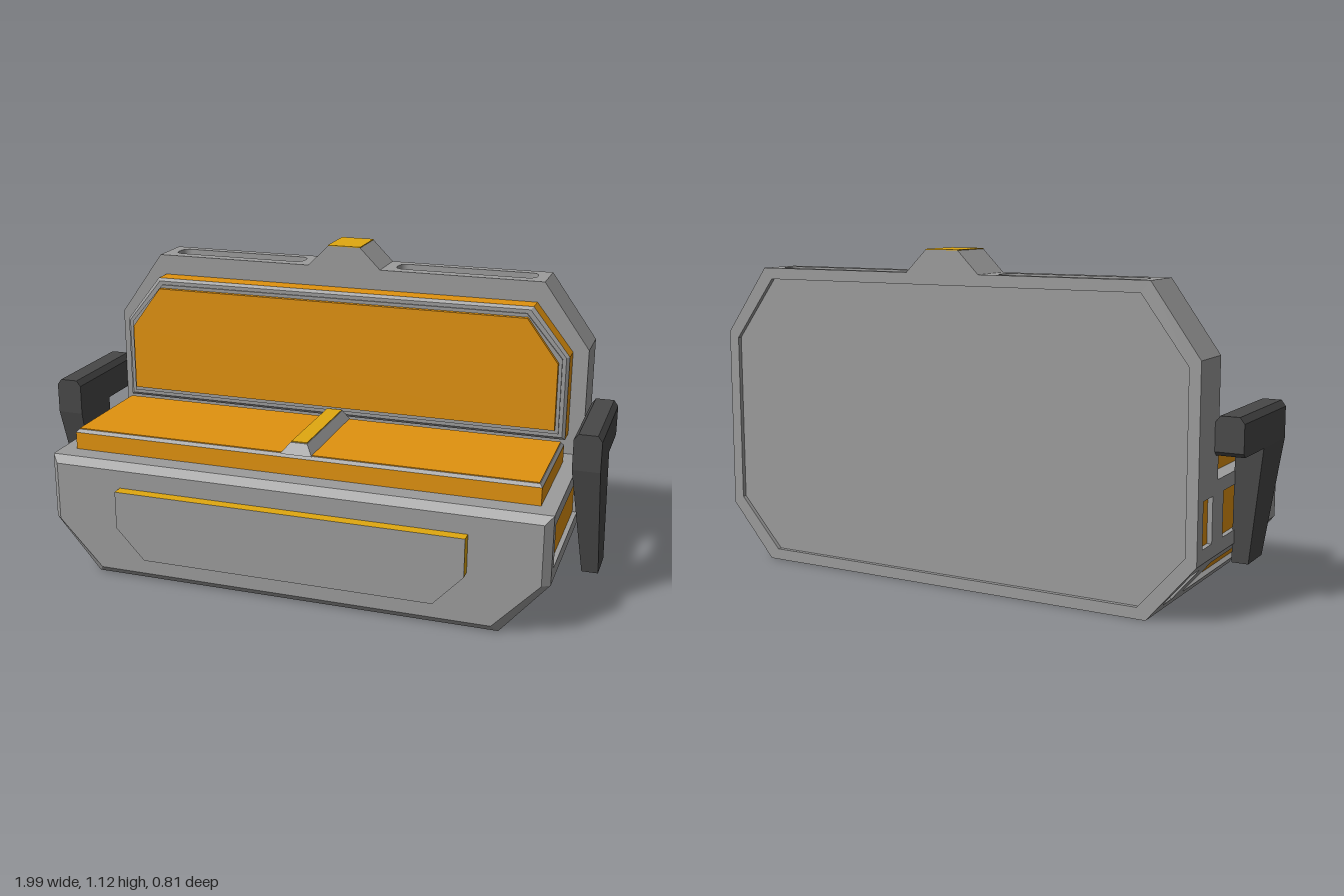
import * as THREE from 'three';

const mat = (name, color) => {
  const m = new THREE.MeshStandardMaterial({ color });
  m.name = name;
  return m;
};

export function createModel() {
  const grey = mat('frame grey', 0x9c9c9c);
  const dark = mat('dark grey', 0x484848);
  const orange = mat('cushion orange', 0xe0920f);
  const gold = mat('trim gold', 0xe0a810);

  const model = new THREE.Group();
  model.name = 'sofa';
  const body = new THREE.Group();
  body.name = 'body';
  body.position.x = -0.0125;
  model.add(body);

  const add = (name, geo, material, parent = body) => {
    const mesh = new THREE.Mesh(geo, material);
    mesh.name = name;
    parent.add(mesh);
    return mesh;
  };
  const box = (name, x0, x1, y0, y1, z0, z1, material) =>
    add(name, new THREE.BoxGeometry(x1 - x0, y1 - y0, z1 - z0)
      .translate((x0 + x1) / 2, (y0 + y1) / 2, (z0 + z1) / 2), material);

  const toShape = (pts) => new THREE.Shape(pts.map(([x, y]) => new THREE.Vector2(x, y)));
  const slab = (pts, z0, z1, holes = []) => {
    const s = toShape(pts);
    s.holes.push(...holes.map(toShape));
    return new THREE.ExtrudeGeometry(s, { depth: z1 - z0, bevelEnabled: false }).translate(0, 0, z0);
  };
  // full outline from its right half, listed from bottom to top
  const mirror = (half) => [...half, ...half.map(([x, y]) => [-x, y]).reverse()];

  // solid through convex rings, counter-clockwise seen from the last ring
  const loft = (rings) => {
    const pos = [];
    const tri = (...v) => v.forEach((p) => pos.push(...p));
    const n = rings[0].length;
    for (let r = 0; r + 1 < rings.length; r++) {
      const a = rings[r], b = rings[r + 1];
      for (let i = 0; i < n; i++) {
        const j = (i + 1) % n;
        tri(a[i], a[j], b[j]);
        tri(a[i], b[j], b[i]);
      }
    }
    const first = rings[0], last = rings[rings.length - 1];
    for (let i = 1; i + 1 < n; i++) {
      tri(last[0], last[i], last[i + 1]);
      tri(first[0], first[i + 1], first[i]);
    }
    const g = new THREE.BufferGeometry();
    g.setAttribute('position', new THREE.Float32BufferAttribute(pos, 3));
    g.computeVertexNormals();
    return g;
  };
  // outline pulled in by about d on every side
  const inset = (pts, d) => {
    const xs = pts.map((p) => p[0]), ys = pts.map((p) => p[1]);
    const y0 = Math.min(...ys), y1 = Math.max(...ys), w = Math.max(...xs);
    const cy = (y0 + y1) / 2, sy = 1 - (2 * d) / (y1 - y0), sx = 1 - d / w;
    return pts.map(([x, y]) => [x * sx, cy + (y - cy) * sy]);
  };
  const ringZ = (pts, z) => pts.map(([x, y]) => [x, y, z]);
  const ringY = (x0, x1, z0, z1, y) => [[x0, y, z1], [x1, y, z1], [x1, y, z0], [x0, y, z0]];

  // base outlines, plain and with window recesses in the sides
  const W = 0.8925, D = 0.02;
  const low = (y, d = 0) => [0.73 + 0.1625 * y / 0.19 - 0.76 * d, y + 0.65 * d];
  const plain = mirror([[0.73, 0], [W, 0.19], [W, 0.43]]);
  const notched = mirror([
    [0.73, 0], low(0.04), low(0.04, D), low(0.15, D), low(0.15), [W, 0.19],
    [W, 0.235], [W - D, 0.235], [W - D, 0.385], [W, 0.385], [W, 0.43],
  ]);
  add('baseRear', slab(plain, -0.39, -0.36), grey);
  add('baseMiddle', slab(plain, -0.28, -0.185), grey);
  add('baseFront', loft([
    ringZ(plain, 0.305), ringZ(plain, 0.345), ringZ(inset(plain, 0.026), 0.37),
  ]), grey);
  for (const [z0, z1] of [[-0.36, -0.28], [-0.185, 0.305]]) {
    add('baseWindowSection', slab(notched, z0, z1), grey);
    for (const side of [1, -1]) {
      const flip = (pts) => pts.map(([x, y]) => [x * side, y]);
      add('upperSideWindow', slab(flip([
        [W - D, 0.235], [W - D + 0.004, 0.235], [W - D + 0.004, 0.385], [W - D, 0.385],
      ]), z0, z1), orange);
      add('lowerSideWindow', slab(flip([
        low(0.04, D), low(0.04, D - 0.004), low(0.15, D - 0.004), low(0.15, D),
      ]), z0, z1), orange);
    }
  }

  // front panel with gold edges
  add('frontPanel', slab(mirror([[0.52, 0.095], [0.6225, 0.205], [0.6225, 0.34]]), 0.36, 0.41), [grey, gold]);

  // backrest frame, recessed behind
  add('backrest', slab(mirror([[W, 0.43], [W, 0.815], [0.7275, 1.045], [0.7275, 1.02]]), -0.39, -0.24), grey);
  const octagon = mirror([[0.73, 0], [W, 0.19], [W, 0.815], [0.7275, 1.045]]);
  add('backRim', slab(octagon, -0.405, -0.39, [inset(octagon, 0.038)]), grey);

  // top plate with two rounded vents
  const topShape = toShape([[-0.7275, 0.24], [0.7275, 0.24], [0.7275, 0.39], [-0.7275, 0.39]]);
  for (const s of [1, -1]) {
    const x0 = s > 0 ? 0.1775 : -0.6875, x1 = x0 + 0.51, y0 = 0.285, y1 = 0.37, r = 0.032;
    const hole = new THREE.Path();
    hole.absarc(x1 - r, y0 + r, r, -Math.PI / 2, 0);
    hole.absarc(x1 - r, y1 - r, r, 0, Math.PI / 2);
    hole.absarc(x0 + r, y1 - r, r, Math.PI / 2, Math.PI);
    hole.absarc(x0 + r, y0 + r, r, Math.PI, Math.PI * 1.5);
    topShape.holes.push(hole);
    box('ventFloor', x0 - 0.01, x1 + 0.01, 1.018, 1.024, -0.375, -0.28, dark);
  }
  add('topPlate', new THREE.ExtrudeGeometry(topShape, { depth: 0.025, bevelEnabled: false, curveSegments: 6 })
    .rotateX(-Math.PI / 2).translate(0, 1.02, 0), grey);

  // raised centre of the top edge
  add('topRidge', slab(mirror([[0.136, 1.03], [0.136, 1.045], [0.061, 1.12]]), -0.405, -0.24), grey);
  box('topRidgeTrim', -0.061, 0.061, 1.119, 1.123, -0.405, -0.24, gold);

  // back cushion: wide layer, grey rim, padded face
  const wide = mirror([[0.8375, 0.505], [0.8375, 0.805], [0.705, 0.972]]);
  add('backCushion', slab(wide, -0.24, -0.172), orange);
  add('backCushionRim', loft([
    ringZ(wide, -0.172), ringZ(inset(wide, 0.01), -0.163),
  ]), grey);
  const face = mirror([[0.803, 0.545], [0.803, 0.785], [0.69, 0.937]]);
  add('backCushionStep', slab(inset(wide, 0.023), -0.165, -0.157), grey);
  add('backCushionFace', slab(face, -0.165, -0.14), orange);

  // seat cushion with thin grey rim
  box('seatCushion', -0.8375, 0.8375, 0.43, 0.492, -0.155, 0.275, orange);
  add('seatRim', loft([
    ringY(-0.8375, 0.8375, -0.155, 0.275, 0.492), ringY(-0.829, 0.829, -0.147, 0.267, 0.503),
  ]), grey);
  box('seatTop', -0.827, 0.827, 0.5, 0.506, -0.145, 0.265, orange);

  // sloped divider on the seat
  add('seatDivider', loft([
    ringY(-0.057, 0.057, -0.15, 0.275, 0.503), ringY(-0.03, 0.03, -0.14, 0.245, 0.537),
  ]), grey);
  box('seatDividerTrim', -0.028, 0.028, 0.535, 0.54, -0.138, 0.24, gold);

  // armrests: tapered leg and bevelled head, same way round on both sides
  for (const [name, x] of [['rightArmrest', 0], ['leftArmrest', 1.893]]) {
    const arm = new THREE.Group();
    arm.name = name;
    arm.position.x = x;
    model.add(arm);
    const a = -0.998, b = -0.905;
    add('armLeg', loft([
      ringY(-0.953, -0.897, -0.07, 0.065, 0.125), ringY(a, b, -0.085, 0.13, 0.51),
    ]), dark, arm);
    add('armHead', loft([
      ringY(a, b, -0.262, 0.13, 0.51), ringY(a, b, -0.275, 0.13, 0.523),
      ringY(a, b, -0.275, 0.13, 0.615), ringY(a + 0.015, b - 0.015, -0.275, 0.13, 0.635),
    ]), dark, arm);
  }
  return model;
}
